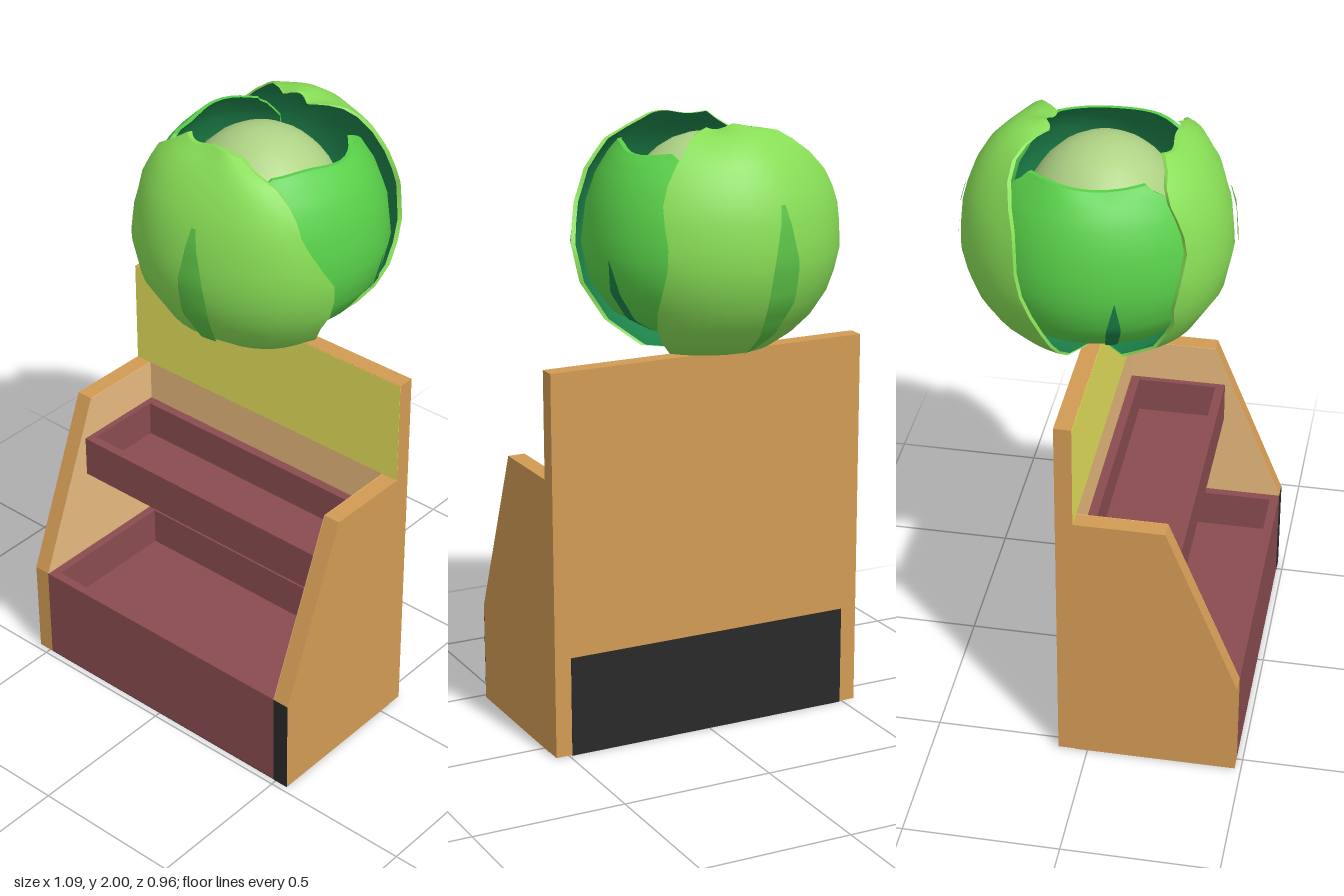
import * as THREE from 'three';

const mat = (name, color) => {
  const m = new THREE.MeshStandardMaterial({ color });
  m.name = name;
  return m;
};

export function createModel() {
  const model = new THREE.Group();
  model.name = 'cabbageStall';

  const wood = mat('wood', 0xd29b54);
  const paleWood = mat('paleWood', 0xe6b87d);
  const maroon = mat('maroon', 0x894c50);
  const yellow = mat('yellow', 0xe5e05c);
  const black = mat('black', 0x292929);
  const lightLeaf = mat('lightLeaf', 0x88de56);
  const midLeaf = mat('midLeaf', 0x58cf48);
  const darkLeaf = mat('darkLeaf', 0x1d824a);
  const veinGreen = mat('veinGreen', 0x5cc246);
  const heart = mat('heart', 0xaed284);

  const add = (name, geometry, material, parent = model) => {
    const mesh = new THREE.Mesh(geometry, material);
    mesh.name = name;
    parent.add(mesh);
    return mesh;
  };

  // Box given by its two opposite corners
  const box = (name, x0, x1, y0, y1, z0, z1, material, parent) => {
    const g = new THREE.BoxGeometry(x1 - x0, y1 - y0, z1 - z0);
    g.translate((x0 + x1) / 2, (y0 + y1) / 2, (z0 + z1) / 2);
    return add(name, g, material, parent);
  };

  // Sloped side panels, outlined in z and y, with pale inner faces
  const outline = (bottom) => new THREE.Shape([
    [-0.04, bottom], [0.48, bottom], [0.48, 0.33], [0.245, 0.91], [-0.04, 0.91],
  ].map(([z, y]) => new THREE.Vector2(z, y)));
  const panel = (name, x, depth, bottom, material) => {
    const g = new THREE.ExtrudeGeometry(outline(bottom), { depth, bevelEnabled: false });
    g.rotateY(-Math.PI / 2).translate(x + depth, 0, 0);
    add(name, g, material);
  };
  panel('rightPanel', -0.545, 0.055, 0, wood);
  panel('leftPanel', 0.49, 0.055, 0, wood);
  panel('rightPanelLining', -0.49, 0.002, 0.33, paleWood);
  panel('leftPanelLining', 0.488, 0.002, 0.33, paleWood);

  // Back board with its painted faces
  box('backBoard', -0.545, 0.545, 0.002, 1.26, -0.095, -0.04, wood);
  box('signFace', -0.545, 0.545, 0.91, 1.259, -0.04, -0.039, yellow);
  box('backLining', -0.488, 0.488, 0.33, 0.91, -0.04, -0.039, paleWood);
  box('backPlate', -0.49, 0.49, 0, 0.33, -0.097, -0.095, black);
  box('basePlate', -0.49, 0.49, 0, 0.002, -0.095, 0.48, black);
  box('frontStrip', 0.49, 0.545, 0, 0.33, 0.48, 0.481, black);

  // Open trays
  const tray = (name, y0, floor, y1, z1, wall) => {
    const t = new THREE.Group();
    t.name = name;
    model.add(t);
    const w = 0.49, z0 = -0.039;
    box('trayFloor', -w + wall, w - wall, y0, floor, z0 + 0.03, z1 - 0.03, maroon, t);
    box('trayBack', -w, w, y0, y1, z0, z0 + 0.03, maroon, t);
    box('trayFront', -w, w, y0, y1, z1 - 0.03, z1, maroon, t);
    for (const s of [-1, 1]) {
      const a = s * w, b = s * (w - wall);
      box('trayEnd', Math.min(a, b), Math.max(a, b), y0, y1, z0 + 0.03, z1 - 0.03, maroon, t);
    }
  };
  tray('lowerBin', 0.002, 0.2, 0.33, 0.48, 0.03);
  tray('upperTray', 0.63, 0.65, 0.77, 0.28, 0.022);

  // Cabbage
  const cabbage = new THREE.Group();
  cabbage.name = 'cabbage';
  model.add(cabbage);
  const axisZ = -0.05;

  const heartGeo = new THREE.SphereGeometry(1, 24, 16);
  heartGeo.scale(0.265, 0.3, 0.255).translate(-0.005, 1.65, -0.04);
  add('heart', heartGeo, heart, cabbage);

  // Leaf rows from stalk to rim: radius, height, edge angles in degrees
  const lowerRows = [
    [0.02, 1.268, -80, 85], [0.2, 1.29, -58, 75], [0.31, 1.37, -50, 72], [0.385, 1.49, -45, 70],
    [0.41, 1.61, -44, 68], [0.4, 1.73, -43, 62], [0.372, 1.83, -42, 54],
  ];
  const frontRows = [...lowerRows, [0.32, 1.92, -41, 44], [0.245, 1.985, -32, 26]];
  const backRows = [...lowerRows, [0.31, 1.935, -41, 44], [0.235, 1.988, -36, 36], [0.165, 1.998, -22, 18]];
  const sideRows = [
    [0.08, 1.32, -14, 14], [0.2, 1.355, -32, 32], [0.3, 1.41, -46, 48], [0.365, 1.5, -55, 56],
    [0.39, 1.61, -57, 58], [0.376, 1.73, -57, 56], [0.345, 1.82, -55, 53],
    [0.305, 1.885, -52, 50], [0.27, 1.925, -45, 40],
  ];
  const sample = (rows, v) => {
    const f = v * (rows.length - 1), i = Math.min(Math.floor(f), rows.length - 2);
    return rows[i].map((a, k) => a + (rows[i + 1][k] - a) * (f - i));
  };

  // Point on a leaf, across u and up v, moved outward by lift
  const leafPoint = (rows, turn, wobble, lift) => (u, v) => {
    const [r, y, lo, hi] = sample(rows, v);
    const ragged = wobble * Math.sin(v * 17 + turn * 3) * 2.5 * (2 * u - 1);
    const a = THREE.MathUtils.degToRad(lo + (hi - lo) * u + ragged) + turn;
    const rr = Math.max(r + lift + wobble * 0.007 * Math.sin(u * 9 + turn) * v, 0.005);
    const yy = y - wobble * 0.015 * v ** 6 * (0.5 + 0.5 * Math.sin(u * 7 + turn * 2));
    return [rr * Math.sin(a), yy, axisZ + rr * Math.cos(a)];
  };

  // Surface through rows of points; flip faces it the other way
  const skinRows = (rows, flip) => {
    const n = rows[0].length, index = [];
    for (let j = 0; j < rows.length - 1; j++) {
      for (let i = 0; i < n - 1; i++) {
        const p = j * n + i, q = p + n;
        if (flip) index.push(p, q, p + 1, p + 1, q, q + 1);
        else index.push(p, p + 1, q, p + 1, q + 1, q);
      }
    }
    const g = new THREE.BufferGeometry();
    g.setAttribute('position', new THREE.Float32BufferAttribute(rows.flat(2), 3));
    g.setIndex(index);
    g.computeVertexNormals();
    return g;
  };
  const steps = (n, a = 0, b = 1) => Array.from({ length: n + 1 }, (_, i) => a + (b - a) * i / n);
  const grid = (point, v0, v1) => steps(16, v0, v1).map((v) => steps(14).map((u) => point(u, v)));

  // Tapering vein that follows the leaf surface
  const veinRows = (rows, centre, width, v0, v1) => rows.map(([r, y], k) => {
    const t = THREE.MathUtils.clamp((k / (rows.length - 1) - v0) / (v1 - v0), 0, 1);
    const w = width * Math.sin(Math.PI * t);
    return [r, y, centre - w, centre + w];
  });

  // Leaf with outer skin, dark inner skin and a closed rim
  const leaf = (name, rows, turn, scale, skin, vein, centre, width, v0, v1) => {
    const g = new THREE.Group();
    g.name = name;
    cabbage.add(g);
    const scaled = rows.map(([r, ...rest]) => [r * scale, ...rest]);
    const outer = leafPoint(scaled, turn, 1, 0), inner = leafPoint(scaled, turn, 1, -0.014);
    add('leafOutside', skinRows(grid(outer, 0, 1), false), skin, g);
    add('leafInside', skinRows(grid(inner, 0, 1), true), darkLeaf, g);
    const border = [
      ...steps(14).map((u) => [u, 0]), ...steps(16).map((v) => [1, v]),
      ...steps(14, 1, 0).map((u) => [u, 1]), ...steps(16, 1, 0).map((v) => [0, v]),
    ];
    const rim = [outer, inner].map((point) => border.map(([u, v]) => point(u, v)));
    add('leafRim', skinRows(rim, true), skin, g);
    const veinPoint = leafPoint(veinRows(scaled, centre, width, v0, v1), turn, 0, 0.009);
    add('leafVein', skinRows(grid(veinPoint, v0, v1), false), vein, g);
  };
  leaf('frontLeaf', frontRows, 0, 1, lightLeaf, veinGreen, 8, 7, 0.1, 0.7);
  leaf('backLeaf', backRows, Math.PI, 1.04, lightLeaf, veinGreen, 8, 7, 0.1, 0.62);
  leaf('leftLeaf', sideRows, Math.PI / 2, 0.98, midLeaf, darkLeaf, 16, 4, 0.12, 0.5);
  leaf('rightLeaf', sideRows, -Math.PI / 2, 1, midLeaf, darkLeaf, 16, 4, 0.12, 0.5);

  return model;
}
